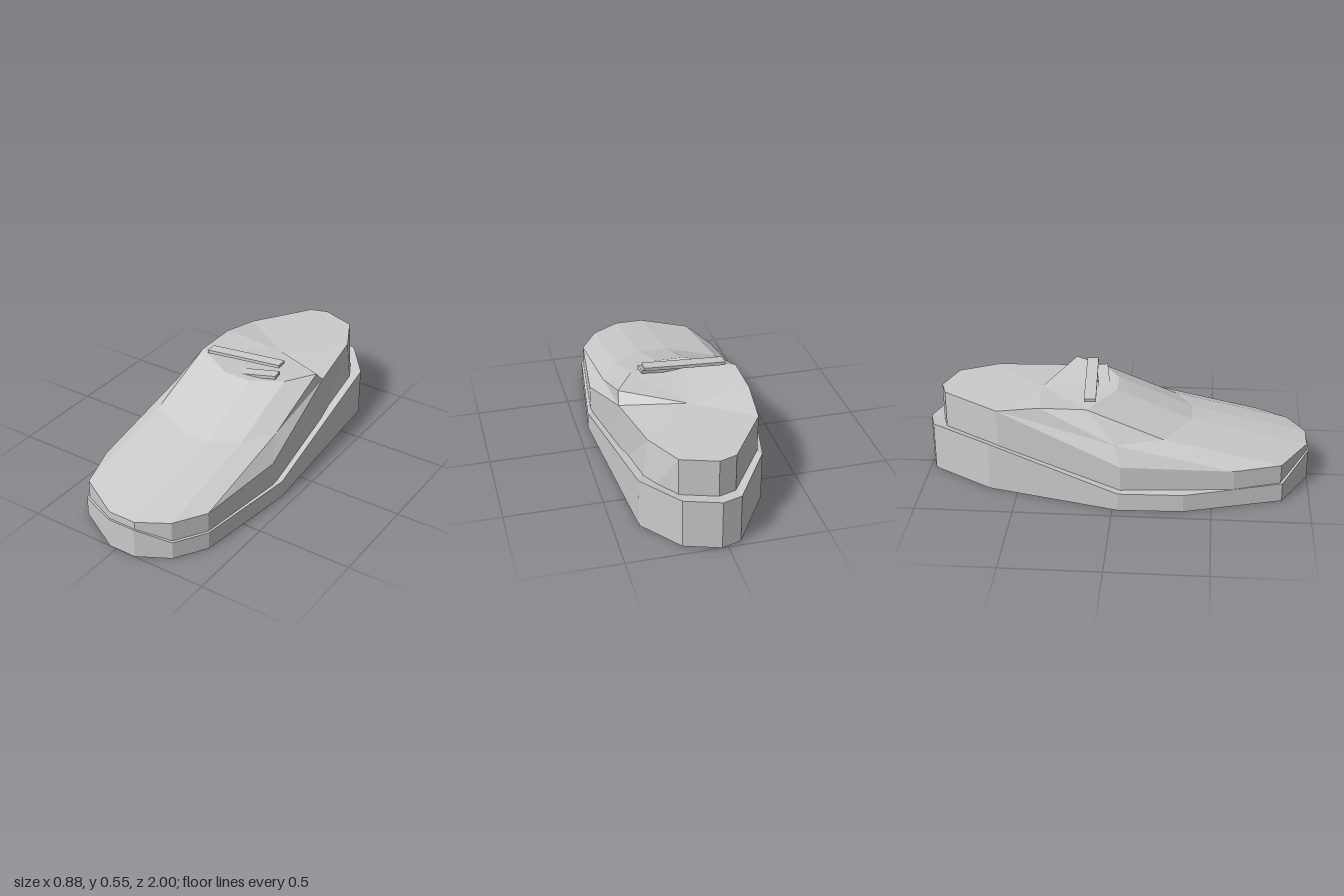
import * as THREE from 'three';

const material = new THREE.MeshStandardMaterial({ color: 0xcccccc, flatShading: true, side: THREE.DoubleSide });

// Builds a faceted mesh from polygons, each fanned from its first corner.
function facets(name, polygons) {
  const points = [];
  for (const p of polygons) {
    for (let i = 1; i < p.length - 1; i++) points.push(...p[0], ...p[i], ...p[i + 1]);
  }
  const geometry = new THREE.BufferGeometry();
  geometry.setAttribute('position', new THREE.Float32BufferAttribute(points, 3));
  geometry.computeVertexNormals();
  const mesh = new THREE.Mesh(geometry, material);
  mesh.name = name;
  return mesh;
}

// Quads between two closed rings, running counter-clockwise seen from below.
const band = (low, high) => low.map((p, i) => {
  const j = (i + 1) % low.length;
  return [p, low[j], high[j], high[i]];
});

// Triangles from a centre point to a closed ring.
const fan = (centre, ring) => ring.map((p, i) => [centre, p, ring[(i + 1) % ring.length]]);

function createSole() {
  // Outline from the toe, round the +x side and the heel: x, top height, z
  const top = [
    [-0.04, 0.16, 1], [0.11, 0.16, 1], [0.27, 0.095, 0.91], [0.37, 0.095, 0.75],
    [0.44, 0.095, 0.2], [0.37, 0.26, -0.73], [0.21, 0.26, -0.94], [0.03, 0.26, -1],
    [-0.07, 0.26, -0.97], [-0.27, 0.26, -0.65], [-0.445, 0.095, 0.03],
    [-0.435, 0.095, 0.36], [-0.29, 0.1, 0.86],
  ];
  const bottom = top.map(([x, , z]) => [x, 0, z]);
  return facets('sole', [
    ...band(bottom, top),
    ...fan([0, 0.09, 0.1], top),
    [...bottom].reverse(),
  ]);
}

function createUpper() {
  const group = new THREE.Group();
  group.name = 'upper';

  // Vamp: one bent row of columns, repeated at three heights
  const columns = [[-0.36, -0.38], [-0.28, -0.14], [-0.04, 0], [0.11, 0], [0.26, -0.09], [0.36, -0.25]];
  const row = (y, dz) => columns.map(([x, z]) => [x, y, z + dz]);
  const toe = row(0.2, 0.99), instep = row(0.325, 0.39), collar = row(0.48, 0);
  collar[0][0] = -0.28;
  const vamp = [];
  for (const [a, b] of [[toe, instep], [instep, collar]]) {
    for (let i = 0; i < 5; i++) vamp.push([a[i], a[i + 1], b[i + 1], b[i]]);
  }

  // Shoulders: the creases where the vamp meets the side walls
  const rightCrease = [0.415, 0.225, 0.25], rightRim = [0.37, 0.425, -0.3];
  const leftCrease = [-0.405, 0.225, 0.04], leftRim = [-0.26, 0.445, -0.6];
  vamp.push(
    [instep[5], toe[5], rightCrease, rightRim, collar[5]],
    [instep[0], collar[0], leftRim, leftCrease, toe[0]],
  );
  group.add(facets('vamp', vamp));

  // Side and heel walls
  const heel = [[0.31, 0.445, -0.67], [0.21, 0.445, -0.87], [0.03, 0.445, -0.93], [-0.06, 0.445, -0.9]];
  const wallTop = [...toe, rightCrease, rightRim, ...heel, leftRim, leftCrease];
  const wallBase = wallTop.map(([x, , z]) => [x, 0.09, z]);
  wallBase[8][0] = 0.35;
  group.add(facets('walls', band(wallBase, wallTop)));

  // Shallow dished cover behind the vamp
  group.add(facets('heelCover', fan([0.04, 0.447, -0.4], [...collar, rightRim, ...heel, leftRim])));
  return group;
}

// Flat laces lying across the instep
function createLaces() {
  const group = new THREE.Group();
  group.name = 'laces';
  const laces = [
    { at: [-0.005, 0.52, -0.137], turn: 0.05, tilt: 0.08 },
    { at: [0.005, 0.463, -0.07], turn: 0.14, tilt: 0.165 },
  ];
  for (const { at, turn, tilt } of laces) {
    const lace = new THREE.Mesh(new THREE.BoxGeometry(0.43, 0.017, 0.06), material);
    lace.name = 'lace';
    lace.position.set(...at);
    lace.rotation.set(0, turn, tilt);
    group.add(lace);
  }
  return group;
}

export function createModel() {
  const shoe = new THREE.Group();
  shoe.name = 'shoe';
  shoe.add(createSole(), createUpper(), createLaces());
  return shoe;
}
